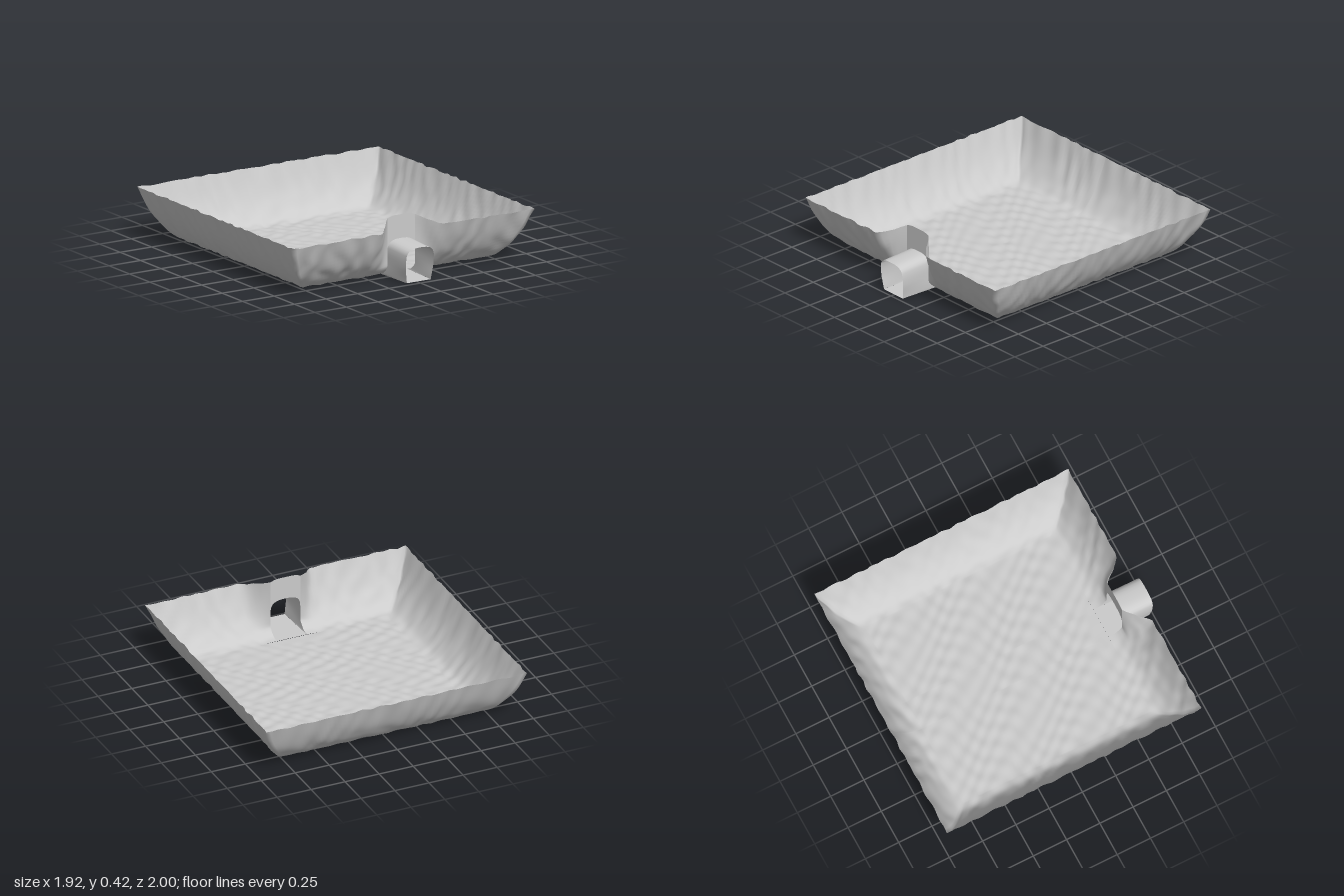
import * as THREE from 'three';
import { mergeVertices } from 'three/addons/utils/BufferGeometryUtils.js';

const SIDE = 30, MID = 14, COLS = SIDE * 2 + MID, ROWS = 20, SPRING = 12;
const ZC = -0.0375;      // centre of the square basin
const MOUTH = 0.11;      // half width of the spout opening
const LIP = 0.80;        // depth of the pinched wall above the spout
const { lerp, smoothstep } = THREE.MathUtils;

// Wall section: distance from the centre, height
const section = new THREE.SplineCurve([
  [0.70, 0.013], [0.755, 0.026], [0.81, 0.075], [0.865, 0.15], [0.912, 0.245], [0.955, 0.36],
].map(p => new THREE.Vector2(...p)));
const profile = j => section.getPoint(j / ROWS);

// Column position across the basin, with columns meeting the spout edges
function columnX(i, half) {
  if (i <= SIDE) return lerp(-half, -MOUTH, i / SIDE);
  if (i >= SIDE + MID) return lerp(MOUTH, half, (i - SIDE - MID) / SIDE);
  return MOUTH * Math.sin(((i - SIDE) / MID - 0.5) * Math.PI);
}

// Front wall, pinched inward and raised around the spout
function frontWall(x, j) {
  const p = profile(j), a = Math.abs(x);
  const pinch = 1 - smoothstep(a, 0.09, 0.27);
  const raise = 1 - smoothstep(a, 0.05, 0.25);
  const z = lerp(p.x, Math.min(p.x, LIP), a <= MOUTH + 1e-6 ? 1 : pinch);
  return [x, p.y * (1 + 0.19 * raise), z + ZC];
}
const springY = frontWall(MOUTH, SPRING)[1];
const archY = x => springY + (0.265 - springY) * Math.cbrt(Math.max(0, 1 - Math.abs(x / MOUTH) ** 3));

// Front wall above the opening
function overArch(x, j) {
  const top = frontWall(x, ROWS);
  return [x, lerp(archY(x), top[1], (j - SPRING) / (ROWS - SPRING)), LIP + ZC];
}

// Soft uneven surface, fading out at the spout
function ripple([x, y, z]) {
  const calm = Math.max(smoothstep(Math.abs(x), 0.11, 0.22), 1 - smoothstep(z, 0.5, 0.66));
  const n = (a, b, c, s) => Math.sin(a * x + b * z + c * y + s + 1.5 * Math.sin(9 * x - 11 * z + s));
  const wall = smoothstep(y, 0.02, 0.12);
  const dy = 0.0026 * n(31, 43, 12, 0) + 0.002 * n(-52, 37, 9, 2) + 0.0018 * n(17, 71, 5, 4);
  const dx = 0.0035 * n(8, 47, 20, 1) + 0.0025 * n(20, -29, 9, 3);
  const dz = 0.0035 * n(45, 9, 20, 5) + 0.0025 * n(-31, 15, 9, 2);
  return [x + dx * wall * calm, y + dy * calm, z + dz * wall * calm];
}

// Adds a patch of quads over an index range
function patch(out, i0, i1, j0, j1, fn, flip = false) {
  for (let i = i0; i < i1; i++) for (let j = j0; j < j1; j++) {
    const a = fn(i, j), b = fn(i, j + 1), c = fn(i + 1, j + 1), d = fn(i + 1, j);
    const quad = flip ? [a, c, b, a, d, c] : [a, b, c, a, c, d];
    quad.forEach(p => out.push(...p));
  }
}

function smoothMesh(name, positions) {
  let geometry = new THREE.BufferGeometry();
  geometry.setAttribute('position', new THREE.Float32BufferAttribute(positions, 3));
  geometry = mergeVertices(geometry, 1e-4);
  geometry.computeVertexNormals();
  const mesh = new THREE.Mesh(geometry, new THREE.MeshStandardMaterial({
    color: 0xcccccc, side: THREE.DoubleSide,
  }));
  mesh.name = name;
  return mesh;
}

function makeBasin() {
  const out = [], base = profile(0), N = 64;
  const along = (k, half) => lerp(-half, half, k / N) + ZC;
  // Floor
  patch(out, 0, COLS, 0, N, (i, j) => ripple([columnX(i, base.x), base.y, along(j, base.x)]));
  // Back wall
  patch(out, 0, COLS, 0, ROWS, (i, j) => {
    const p = profile(j);
    return ripple([columnX(i, p.x), p.y, ZC - p.x]);
  }, true);
  // Side walls
  for (const s of [-1, 1]) patch(out, 0, N, 0, ROWS, (i, j) => {
    const p = profile(j);
    return ripple([s * p.x, p.y, along(i, p.x)]);
  }, s > 0);
  // Front wall on both sides of the opening and above it
  const front = (i, j) => ripple(frontWall(columnX(i, profile(j).x), j));
  patch(out, 0, SIDE, 0, ROWS, front);
  patch(out, SIDE + MID, COLS, 0, ROWS, front);
  patch(out, SIDE, SIDE + MID, SPRING, ROWS, (i, j) => ripple(overArch(columnX(i, 1), j)));
  return smoothMesh('basin', out);
}

function makeSpout() {
  // Opening outline: up one side, over the arch, down the other
  const ring = [];
  for (let j = 0; j < SPRING; j++) ring.push(frontWall(-MOUTH, j));
  for (let i = SIDE; i <= SIDE + MID; i++) ring.push(overArch(columnX(i, 1), SPRING));
  for (let j = SPRING - 1; j >= 0; j--) ring.push(frontWall(MOUTH, j));
  // Outer end, narrower at the foot and leaning slightly forward
  const end = ([x, y]) => [
    x * lerp(0.86, 1, smoothstep(y, 0, 0.14)), y * 0.955, 0.977 + 0.09 * y,
  ];
  const STEPS = 8;
  const at = (p, k) => {
    const e = end(p);
    return p.map((v, n) => lerp(v, e[n], k / STEPS));
  };
  const shell = [], floor = [];
  patch(shell, 0, ring.length - 1, 0, STEPS, (i, k) => at(ring[i], k));
  // Flat bottom between the two feet
  const first = ring[0];
  patch(floor, SIDE, SIDE + MID, 0, STEPS, (i, k) => at([columnX(i, 1), first[1], first[2]], k).map(
    (v, n) => n ? v : columnX(i, 1) * lerp(1, 0.86, k / STEPS)));
  const spout = new THREE.Group();
  spout.name = 'spout';
  spout.add(smoothMesh('spoutShell', shell), smoothMesh('spoutFloor', floor));
  return spout;
}

export function createModel() {
  const model = new THREE.Group();
  model.name = 'basinWithSpout';
  model.add(makeBasin(), makeSpout());
  return model;
}
